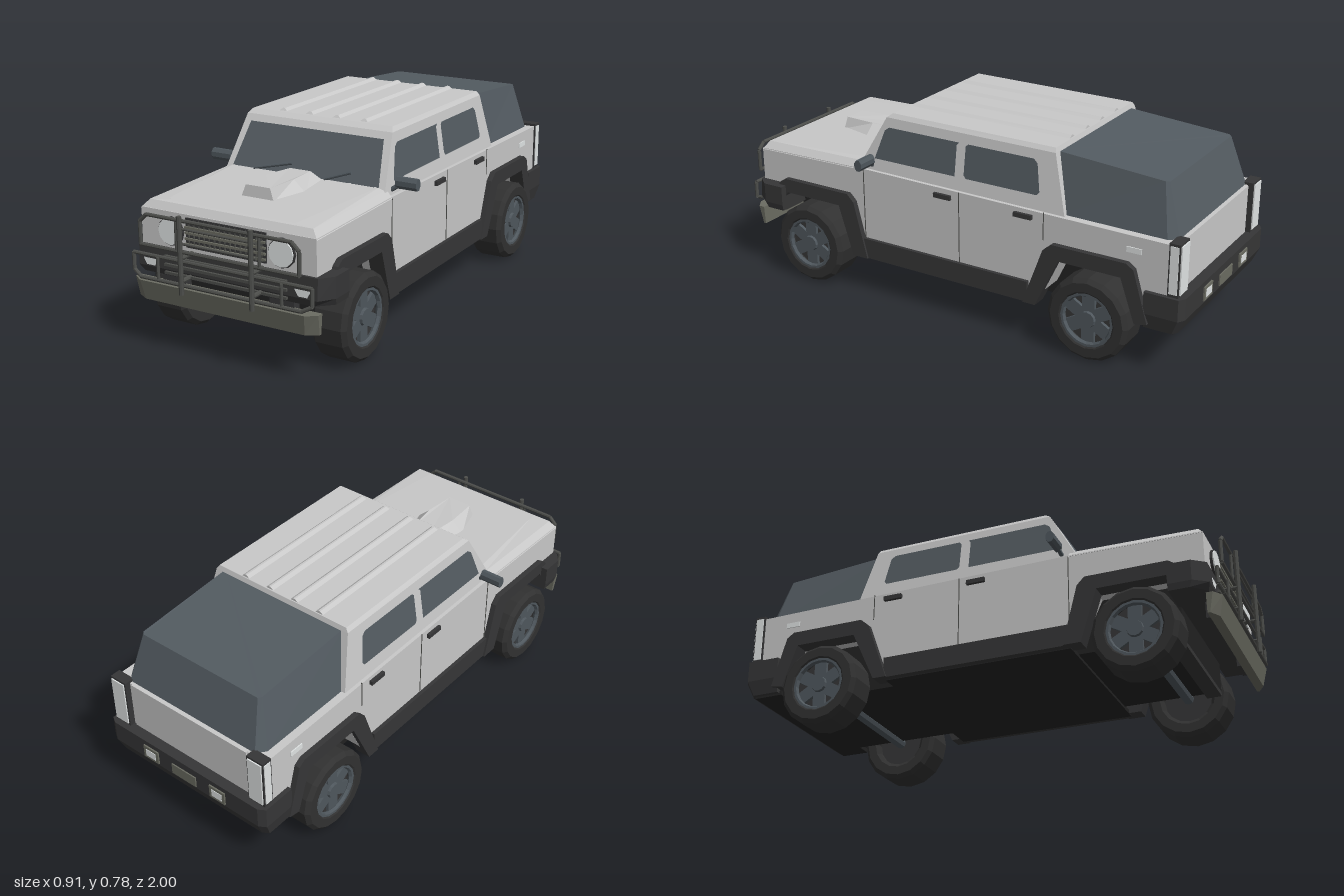
import * as THREE from 'three';

const mat = (name, color) => {
  const m = new THREE.MeshStandardMaterial({ color, side: THREE.DoubleSide });
  m.name = name;
  return m;
};

export function createModel() {
  const root = new THREE.Group();
  root.name = 'offRoadPickup';
  const paint = mat('lightGreyPaint', 0xc8c8c8);
  const glass = mat('slateGlass', 0x535b61);
  const trim = mat('darkTrim', 0x363637);
  const rubber = mat('tyreRubber', 0x313131);
  const under = mat('underbodyBlack', 0x222222);
  const steel = mat('guardSteel', 0x4c4d4a);
  const plate = mat('skidPlateGrey', 0x6b6c62);
  const rimGrey = mat('rimGrey', 0x4f575d);
  const lamp = mat('lampSilver', 0xe0e4e4);

  const add = (name, geo, m, parent = root) => {
    if (geo.index) geo = geo.toNonIndexed();
    geo.computeVertexNormals(); // faceted
    const mesh = new THREE.Mesh(geo, m);
    mesh.name = name;
    parent.add(mesh);
    return mesh;
  };
  // Box given by its limits
  const box = (name, m, x0, x1, y0, y1, z0, z1) =>
    add(name, new THREE.BoxGeometry(x1 - x0, y1 - y0, z1 - z0)
      .translate((x0 + x1) / 2, (y0 + y1) / 2, (z0 + z1) / 2), m);
  // The same box on both sides
  const pair = (name, m, x0, x1, ...r) => {
    box(name + 'Left', m, x0, x1, ...r);
    box(name + 'Right', m, -x1, -x0, ...r);
  };
  // Straight rod between two points
  const rod = (name, m, a, b, r) => {
    const A = new THREE.Vector3(...a), B = new THREE.Vector3(...b), d = B.clone().sub(A);
    const g = new THREE.CylinderGeometry(r, r, d.length(), 8);
    g.applyQuaternion(new THREE.Quaternion().setFromUnitVectors(new THREE.Vector3(0, 1, 0), d.normalize()));
    return add(name, g.translate(...A.add(B).multiplyScalar(0.5).toArray()), m);
  };
  // Symmetric rings (left halves, front to rear), stacked upwards and capped
  const loft = (name, m, halves) => {
    const rings = halves.map(h => h.concat([...h].reverse().map(([x, y, z]) => [-x, y, z])));
    const v = [], n = rings[0].length;
    for (let k = 0; k + 1 < rings.length; k++) for (let i = 0; i < n; i++) {
      const j = (i + 1) % n, a = rings[k], b = rings[k + 1];
      v.push(...a[i], ...a[j], ...b[j], ...a[i], ...b[j], ...b[i]);
    }
    const lo = rings[0], hi = rings[rings.length - 1];
    for (let i = 1; i + 1 < n; i++) v.push(...lo[0], ...lo[i + 1], ...lo[i], ...hi[0], ...hi[i], ...hi[i + 1]);
    const g = new THREE.BufferGeometry();
    g.setAttribute('position', new THREE.Float32BufferAttribute(v, 3));
    return add(name, g, m);
  };
  // Flat convex panel, double sided
  const panel = (name, m, pts) => {
    const v = [];
    for (let i = 1; i + 1 < pts.length; i++) v.push(...pts[0], ...pts[i], ...pts[i + 1]);
    const g = new THREE.BufferGeometry();
    g.setAttribute('position', new THREE.Float32BufferAttribute(v, 3));
    return add(name, g, m);
  };
  // Side profile in (z, y), extruded from x0 to x1
  const profile = (name, m, pts, x0, x1) => {
    const g = new THREE.ExtrudeGeometry(new THREE.Shape(pts.map(p => new THREE.Vector2(...p))),
      { depth: x1 - x0, bevelEnabled: false });
    return add(name, g.rotateY(-Math.PI / 2).translate(x1, 0, 0), m);
  };

  // Lower body with wheel openings
  profile('lowerBody', paint, [[0.92, 0.3], [0.92, 0.525], [0.42, 0.535], [-0.945, 0.52], [-0.945, 0.28],
    [-0.81, 0.26], [-0.76, 0.37], [-0.5, 0.37], [-0.43, 0.22], [0.43, 0.22], [0.5, 0.37], [0.8, 0.37], [0.83, 0.3]], -0.37, 0.37);
  box('chassis', under, -0.275, 0.275, 0.165, 0.5, -0.87, 0.8);
  box('floorPlate', under, -0.36, 0.36, 0.154, 0.17, -0.36, 0.4);
  box('rearFloorPlate', under, -0.36, 0.36, 0.172, 0.19, -0.95, -0.83);
  pair('sill', trim, 0.34, 0.385, 0.157, 0.24, -0.36, 0.4);

  // Bonnet, its raised strips and scoop
  loft('bonnet', paint, [
    [[0.372, 0.52, 0.92], [0.372, 0.53, 0.4]],
    [[0.345, 0.552, 0.9], [0.347, 0.56, 0.4]],
    [[0.27, 0.557, 0.89], [0.32, 0.567, 0.4]]]);
  for (const s of [-1, 1]) for (const [a, b] of [[0.16, 0.2], [0.262, 0.308]])
    panel('bonnetStrip', paint, [[s * a, 0.56, 0.88], [s * (a + 0.012), 0.56, 0.88], [s * (b + 0.012), 0.569, 0.42], [s * b, 0.569, 0.42]]);
  loft('bonnetScoop', paint, [
    [[0.07, 0.555, 0.725], [0.115, 0.555, 0.58], [0.1, 0.555, 0.42]],
    [[0.052, 0.603, 0.72], [0.062, 0.603, 0.58], [0.045, 0.597, 0.44]]]);

  // Cabin, roof and ribs
  loft('cabin', paint, [
    [[0.356, 0.53, 0.435], [0.356, 0.52, -0.5]],
    [[0.322, 0.752, 0.312], [0.322, 0.75, -0.44]],
    [[0.31, 0.769, 0.29], [0.31, 0.766, -0.435]]]);
  for (const x of [-0.18, -0.06, 0.06, 0.18])
    loft('roofRib', paint, [
      [[0.022, 0.765, 0.28], [0.022, 0.763, -0.43]],
      [[0.004, 0.779, 0.27], [0.004, 0.776, -0.43]]]).position.x = x;

  // Windscreen and side windows
  const front = (x, y) => [x, y, 0.438 - (y - 0.53) * 0.554];
  panel('windscreen', glass, [front(-0.325, 0.56), front(0.325, 0.56), front(0.295, 0.727), front(-0.295, 0.727)]);
  const sideX = y => 0.36 - (y - 0.53) * 0.153;
  const windows = {
    frontWindow: [[0.355, 0.583], [-0.02, 0.583], [-0.02, 0.705], [-0.03, 0.715], [0.295, 0.715], [0.315, 0.7]],
    rearWindow: [[-0.06, 0.595], [-0.07, 0.583], [-0.38, 0.583], [-0.39, 0.595], [-0.372, 0.7], [-0.355, 0.715], [-0.07, 0.715], [-0.06, 0.705]],
  };
  for (const s of [-1, 1]) {
    for (const [n, pts] of Object.entries(windows)) panel(n, glass, pts.map(([z, y]) => [s * sideX(y), y, z]));
    // Wipers
    const c = s < 0 ? [-0.22, 0.57, -0.06, 0.605] : [0.095, 0.57, 0.2, 0.605];
    rod('wiper', rimGrey, [c[0], c[1], 0.425], [c[2], c[3], 0.405], 0.006);
    // Mirrors
    rod('mirrorArm', rimGrey, [s * 0.345, 0.55, 0.37], [s * 0.39, 0.58, 0.36], 0.009);
    const head = new THREE.CylinderGeometry(0.024, 0.024, 0.088, 8).rotateZ(Math.PI / 2).rotateX(Math.PI / 8);
    add('mirror', head.scale(1, 1, 0.75).translate(s * 0.412, 0.582, 0.36), rimGrey);
  }

  // Rear canopy
  loft('canopy', glass, [
    [[0.34, 0.515, -0.46], [0.338, 0.515, -0.9], [0.31, 0.515, -0.935]],
    [[0.29, 0.748, -0.425], [0.288, 0.716, -0.86], [0.278, 0.714, -0.872]]]);

  // Door seams, handles and side lamps
  for (const z of [0.4, -0.05, -0.42]) pair('doorSeam', steel, 0.369, 0.372, z < -0.4 ? 0.42 : 0.24, 0.53, z - 0.0015, z + 0.0015);
  for (const z of [0.022, -0.335]) pair('doorHandle', trim, 0.368, 0.383, 0.492, 0.51, z - 0.038, z + 0.038);
  pair('sideLamp', lamp, 0.369, 0.374, 0.457, 0.478, -0.82, -0.76);

  // Wheel arch flares
  const flares = {
    frontFlare: [[0.86, 0.3], [0.82, 0.4], [0.79, 0.42], [0.47, 0.42], [0.44, 0.39], [0.38, 0.157], [0.45, 0.157], [0.515, 0.362], [0.78, 0.362], [0.82, 0.3]],
    rearFlare: [[-0.345, 0.157], [-0.43, 0.39], [-0.465, 0.42], [-0.77, 0.42], [-0.8, 0.4], [-0.86, 0.2], [-0.81, 0.19], [-0.75, 0.36], [-0.495, 0.36], [-0.4, 0.157]],
  };
  for (const [n, pts] of Object.entries(flares)) {
    profile(n + 'Left', trim, pts, 0.33, 0.393);
    profile(n + 'Right', trim, pts, -0.393, -0.33);
  }

  // Wheels
  const tyre = [[0.1, -0.06], [0.114, -0.071], [0.15, -0.071], [0.166, -0.055], [0.166, 0.055], [0.15, 0.071], [0.114, 0.071], [0.1, 0.06], [0.1, -0.06]]
    .map(p => new THREE.Vector2(...p));
  for (const z of [0.66, -0.63]) {
    rod('axle', rimGrey, [-0.3, 0.163, z], [0.3, 0.163, z], 0.022);
    for (const s of [-1, 1]) {
      const w = new THREE.Group();
      w.name = (z > 0 ? 'front' : 'rear') + (s > 0 ? 'Left' : 'Right') + 'Wheel';
      add('tyre', new THREE.LatheGeometry(tyre, 16), rubber, w);
      add('rimDisc', new THREE.CylinderGeometry(0.105, 0.105, 0.08, 20), trim, w);
      add('rimRing', new THREE.TorusGeometry(0.104, 0.012, 6, 20).rotateX(Math.PI / 2).translate(0, 0.056, 0), rimGrey, w);
      add('hub', new THREE.CylinderGeometry(0.03, 0.036, 0.022, 12).translate(0, 0.052, 0), rimGrey, w);
      for (let i = 0; i < 6; i++)
        add('spoke', new THREE.BoxGeometry(0.085, 0.014, 0.052).translate(0.062, 0.046, 0).rotateY(i * Math.PI / 3), rimGrey, w);
      w.rotation.z = -s * Math.PI / 2;
      w.position.set(s * 0.349, 0.166, z);
      root.add(w);
    }
  }

  // Front face: grille and lamps
  box('grillePanel', trim, -0.17, 0.17, 0.405, 0.515, 0.915, 0.926);
  for (let i = 0; i < 5; i++) box('grilleSlat', plate, -0.17, 0.17, 0.415 + i * 0.021, 0.423 + i * 0.021, 0.925, 0.934);
  for (let i = -7; i <= 7; i++) box('grilleBar', steel, i * 0.022 - 0.002, i * 0.022 + 0.002, 0.41, 0.51, 0.925, 0.931);
  const disc = (name, m, x, y, z, r, d) =>
    add(name, new THREE.CylinderGeometry(r, r, d, 12).rotateX(Math.PI / 2).translate(x, y, z), m);
  for (const s of [-1, 1]) {
    disc('headlampRing', trim, s * 0.235, 0.455, 0.922, 0.054, 0.016);
    disc('headlamp', lamp, s * 0.235, 0.455, 0.925, 0.05, 0.02);
  }

  // Front bumper, fog lamps and skid plate
  loft('frontBumper', trim, [
    [[0.36, 0.285, 0.925], [0.415, 0.285, 0.87], [0.415, 0.285, 0.79]],
    [[0.38, 0.31, 0.935], [0.42, 0.31, 0.88], [0.42, 0.31, 0.79]],
    [[0.38, 0.39, 0.93], [0.42, 0.39, 0.88], [0.42, 0.39, 0.79]]]);
  for (const s of [-1, 1])
    panel('fogLamp', lamp, [[0.305, 0.316], [0.342, 0.316], [0.356, 0.342], [0.29, 0.342]].map(([x, y]) => [s * x, y, 0.938]));
  for (const y of [0.295, 0.325, 0.355]) box('bumperSlat', steel, -0.26, 0.26, y, y + 0.01, 0.93, 0.943);
  loft('skidPlate', plate, [
    [[0.34, 0.188, 0.955], [0.385, 0.188, 0.93], [0.385, 0.188, 0.92]],
    [[0.35, 0.265, 0.972], [0.39, 0.265, 0.945], [0.39, 0.265, 0.92]]]);
  pair('skidBracket', trim, 0.18, 0.28, 0.22, 0.3, 0.89, 0.925);
  box('frontCrossmember', trim, -0.28, 0.28, 0.147, 0.2, 0.74, 0.8);

  // Bull bar
  const z = 0.974;
  const loop = (name, pts, r) => {
    const all = pts.concat([...pts].reverse().map(p => [-p[0], p[1], p[2]]));
    all.forEach((p, i) => rod(name, steel, p, all[(i + 1) % all.length], r));
  };
  loop('upperGuardLoop', [[0.335, 0.405, z], [0.335, 0.492, z], [0.305, 0.52, z]], 0.0075);
  loop('lowerGuardLoop', [[0.34, 0.28, z], [0.378, 0.3, z - 0.01], [0.378, 0.365, z - 0.01]], 0.0075);
  for (const y of [0.435, 0.49]) rod('guardCrossbar', steel, [-0.16, y, z], [0.16, y, z], 0.005);
  for (const s of [-1, 1]) {
    rod('guardUpright', steel, [s * 0.15, 0.25, z + 0.014], [s * 0.15, 0.54, z + 0.014], 0.0095);
    rod('guardDivider', steel, [s * 0.262, 0.285, z], [s * 0.262, 0.365, z], 0.006);
    rod('guardStrut', steel, [s * 0.175, 0.405, z], [s * 0.175, 0.52, z], 0.006);
    for (const y of [0.3, 0.385]) rod('guardMount', steel, [s * 0.15, y, 0.9], [s * 0.15, y, z + 0.01], 0.009);
  }

  // Rear: tailgate, lamps and bumper
  box('tailgate', paint, -0.285, 0.285, 0.33, 0.523, -0.953, -0.94);
  panel('tailgateRecess', paint, [[-0.2, 0.505, -0.956], [-0.17, 0.47, -0.956], [0.17, 0.47, -0.956], [0.2, 0.505, -0.956]]);
  pair('tailLampFrame', trim, 0.3, 0.376, 0.325, 0.53, -0.968, -0.925);
  pair('tailLampRear', lamp, 0.307, 0.37, 0.335, 0.522, -0.973, -0.966);
  pair('tailLampSide', lamp, 0.374, 0.379, 0.337, 0.52, -0.963, -0.931);
  loft('rearBumper', trim, [
    [[0.375, 0.18, -0.84], [0.375, 0.18, -0.95], [0.35, 0.18, -0.965]],
    [[0.388, 0.24, -0.84], [0.388, 0.24, -0.975], [0.36, 0.24, -0.992]],
    [[0.388, 0.325, -0.84], [0.388, 0.325, -0.975], [0.36, 0.325, -0.992]]]);
  pair('rearLampHousing', plate, 0.13, 0.205, 0.25, 0.305, -0.998, -0.985);
  pair('rearLamp', lamp, 0.143, 0.192, 0.262, 0.293, -1.0, -0.994);
  box('rearPlate', plate, -0.06, 0.06, 0.25, 0.295, -0.997, -0.985);
  return root;
}
